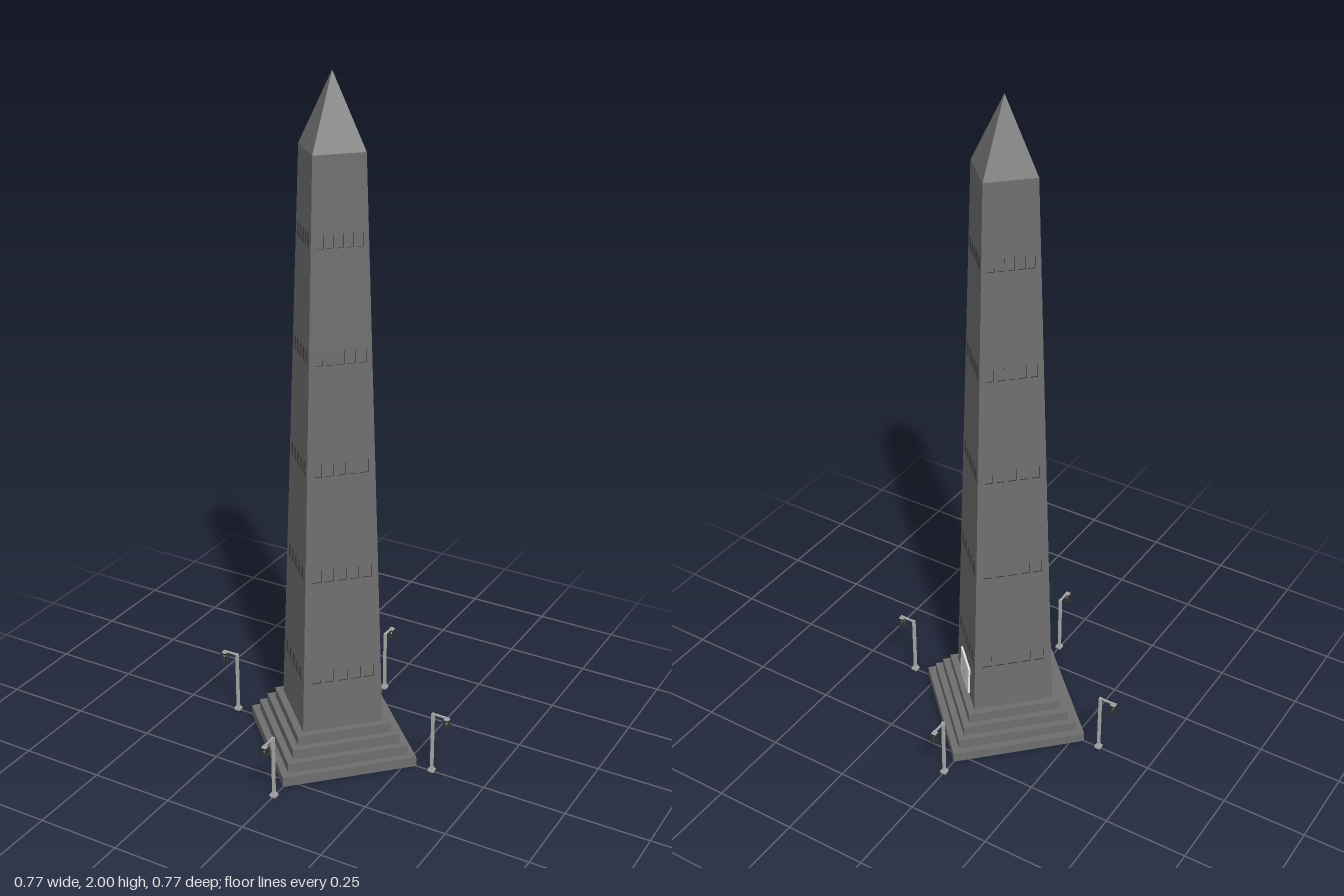
import * as THREE from 'three';

const mat = (name, color) => {
  const m = new THREE.MeshStandardMaterial({ color });
  m.name = name;
  return m;
};

export function createModel() {
  const stone = mat('stone grey', 0x6e6e6e);
  const dark = mat('dark grey', 0x303030);
  const pale = mat('plaque pale', 0xe8e8e8);
  const relief = mat('relief grey', 0xc8c8c8);
  const metal = mat('lamp metal', 0xacacac);

  const root = new THREE.Group();
  root.name = 'obelisk';

  function add(parent, name, geo, material, x = 0, y = 0, z = 0) {
    const mesh = new THREE.Mesh(geo, material);
    mesh.name = name;
    mesh.position.set(x, y, z);
    parent.add(mesh);
    return mesh;
  }
  const box = (w, h, d) => new THREE.BoxGeometry(w, h, d);

  // Four-sided frustum with its corners on the x and z axes
  function frustum(rTop, rBottom, h) {
    const g = new THREE.CylinderGeometry(rTop, rBottom, h, 4).toNonIndexed();
    g.computeVertexNormals();
    return g;
  }

  // Stepped base and pointed cap
  [0.283, 0.254, 0.226, 0.198].forEach((r, i) =>
    add(root, 'step', frustum(r, r, 0.03), stone, 0, 0.015 + i * 0.03, 0));
  const y0 = 0.12, y1 = 1.8, r0 = 0.169, r1 = 0.102;
  add(root, 'cap', frustum(0, r1, 0.2), stone, 0, 1.9, 0);

  // Shaft faces: half width equals distance from the axis
  const a0 = r0 / Math.SQRT2, a1 = r1 / Math.SQRT2;
  const tilt = Math.atan((a0 - a1) / (y1 - y0));
  const along = y => (y - y0) / Math.cos(tilt);
  const halfAt = y => a0 + (a1 - a0) * (y - y0) / (y1 - y0);

  // Slits: five rows of five shallow recesses on every face
  const slitH = 0.038, slitD = 0.004;
  const slits = [];
  for (let row = 0; row < 5; row++) {
    const y = 0.292 + row * 0.32;
    const pitch = halfAt(y) * 0.344;
    for (let i = -2; i <= 2; i++) slits.push({ x: i * pitch, y: along(y), w: pitch * 0.7 });
  }

  const outline = pts => pts.map(([x, y]) => new THREE.Vector2(x, y));
  const faceShape = new THREE.Shape(outline(
    [[-a0, 0], [a0, 0], [a1, along(y1)], [-a1, along(y1)]]));
  for (const { x, y, w } of slits) {
    const l = x - w / 2, r = x + w / 2, b = y - slitH / 2, t = y + slitH / 2;
    faceShape.holes.push(new THREE.Path(outline([[l, b], [l, t], [r, t], [r, b]])));
  }
  const faceGeo = new THREE.ShapeGeometry(faceShape);

  // The four side walls of a recess, turned to face inwards
  function reveal(w) {
    const g = box(w, slitH, slitD);
    const idx = Array.from(g.index.array).slice(0, 24);
    for (let i = 0; i < 24; i += 3) [idx[i], idx[i + 1]] = [idx[i + 1], idx[i]];
    g.setIndex(idx);
    g.clearGroups();
    const n = g.attributes.normal.array;
    for (let i = 0; i < n.length; i++) n[i] = -n[i];
    return g;
  }

  const sides = [0, 1, 2, 3].map(k => {
    const turn = new THREE.Group();
    turn.name = 'shaftSide';
    turn.rotation.y = Math.PI / 4 + k * Math.PI / 2;
    root.add(turn);
    const side = new THREE.Group();
    side.name = 'shaftSlope';
    side.position.set(0, y0, a0);
    side.rotation.x = -tilt;
    turn.add(side);
    add(side, 'shaftFace', faceGeo, stone);
    for (const { x, y, w } of slits) {
      add(side, 'slitReveal', reveal(w), dark, x, y, -slitD / 2);
      add(side, 'slitBack', new THREE.PlaneGeometry(w, slitH), stone, x, y, -slitD);
    }
    return side;
  });

  // Plaque with a plain sprig on the back left face
  const plaque = new THREE.Group();
  plaque.name = 'plaque';
  plaque.position.y = along(0.174);
  sides[1].add(plaque);
  add(plaque, 'plaquePlate', box(0.11, 0.092, 0.006), pale, 0, 0, 0.003);
  add(plaque, 'sprigStem', new THREE.PlaneGeometry(0.005, 0.07), relief, 0, 0, 0.0066);
  for (let i = 0; i < 3; i++) {
    for (const s of [-1, 1]) {
      const leaf = add(plaque, 'sprigLeaf', new THREE.PlaneGeometry(0.026, 0.005), relief,
        s * 0.011, -0.016 + i * 0.02, 0.0066);
      leaf.rotation.z = -s * 0.6;
    }
  }

  // Four street lamps, one off each corner, arms pointing outwards
  for (let k = 0; k < 4; k++) {
    const lamp = new THREE.Group();
    lamp.name = 'lamp';
    lamp.rotation.y = k * Math.PI / 2;
    root.add(lamp);
    const zp = 0.333, zl = 0.377;
    add(lamp, 'lampFoot', box(0.018, 0.008, 0.018), metal, 0, 0.004, zp);
    add(lamp, 'lampCollar', box(0.011, 0.006, 0.011), metal, 0, 0.011, zp);
    add(lamp, 'lampPost', box(0.008, 0.188, 0.008), metal, 0, 0.102, zp);
    add(lamp, 'lampArm', box(0.005, 0.005, 0.05), metal, 0, 0.1935, 0.355);
    // Open lantern cage with a dark frame, a lighter lid and a small bulb
    add(lamp, 'lanternLid', box(0.014, 0.004, 0.014), metal, 0, 0.19, zl);
    for (const y of [0.162, 0.186])
      add(lamp, 'lanternPlate', box(0.019, 0.004, 0.019), dark, 0, y, zl);
    add(lamp, 'lanternBulb', box(0.006, 0.01, 0.006), metal, 0, 0.179, zl);
    for (const sx of [-1, 1]) for (const sz of [-1, 1])
      add(lamp, 'lanternBar', box(0.003, 0.02, 0.003), dark, sx * 0.008, 0.174, zl + sz * 0.008);
  }

  return root;
}
